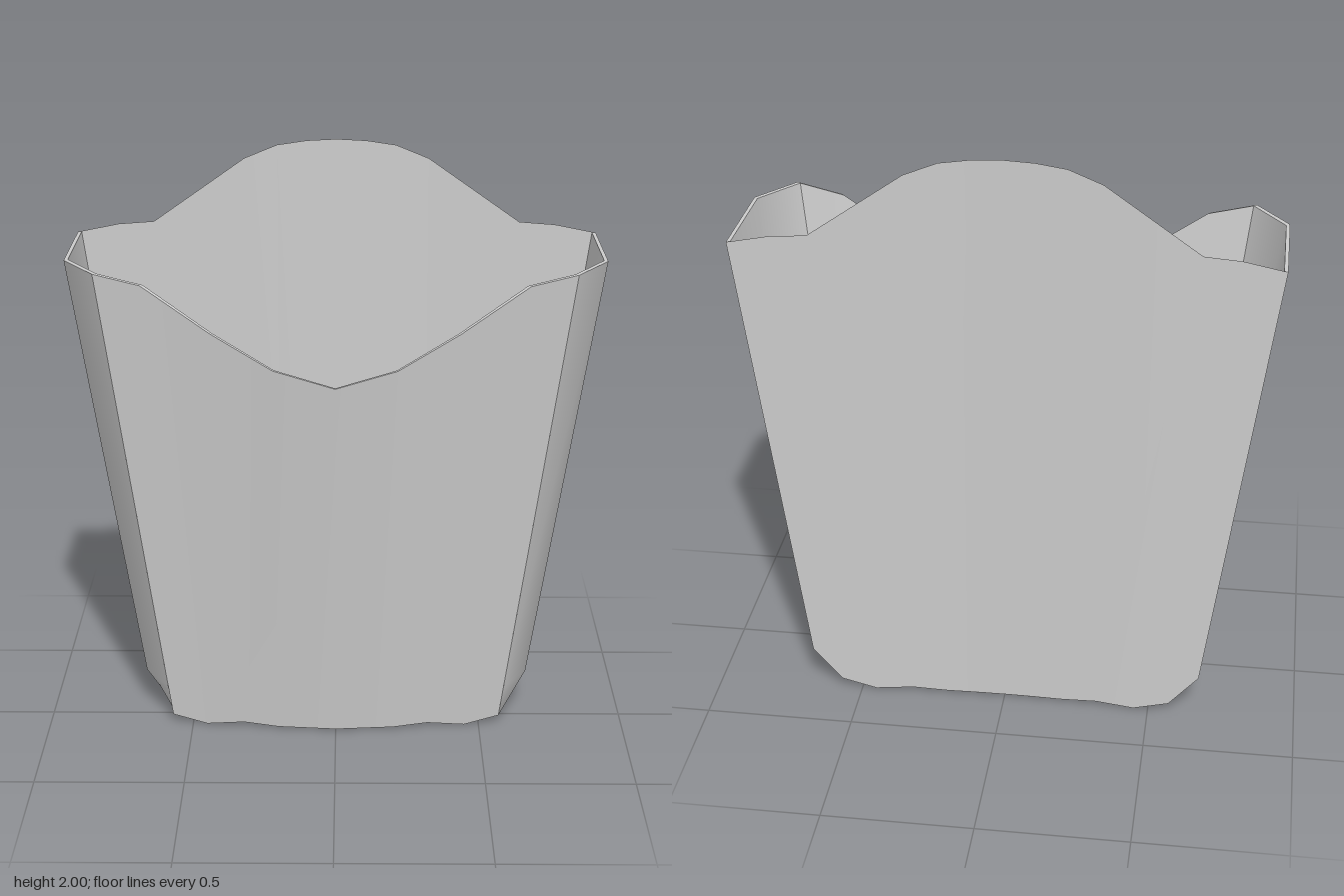
import * as THREE from 'three';
import { mergeGeometries } from 'three/addons/utils/BufferGeometryUtils.js';

const material = new THREE.MeshStandardMaterial({ color: 0xcccccc, side: THREE.DoubleSide });

// Smooth surface through a row of columns of [x, y, z] points
function sheet(columns) {
  const rows = columns[0].length;
  const index = [];
  for (let i = 0; i < columns.length - 1; i++) {
    for (let j = 0; j < rows - 1; j++) {
      const a = i * rows + j, b = a + rows;
      index.push(a, b, b + 1, a, b + 1, a + 1);
    }
  }
  const geometry = new THREE.BufferGeometry();
  geometry.setAttribute('position', new THREE.Float32BufferAttribute(columns.flat(2), 3));
  geometry.setIndex(index);
  geometry.computeVertexNormals();
  return geometry;
}

const mirrorColumn = (column) => column.map(([x, y, z]) => [-x, y, z]);

// Complete a half that starts on the centre line, running from -x to +x
const bothHalves = (half) => [...half.slice(1).reverse().map(mirrorColumn), ...half];

// Inner skin of the card
const inset = ([x, y, z]) => [x * 0.986, y, z > -0.2 ? z - 0.01 : z];

// Card panel with an outer skin, an inner skin and a thin rim along the top
function cardPanel(columns) {
  const inner = columns.map((c) => c.map(inset));
  const last = columns[0].length - 1;
  const rim = columns.map((c, i) => [c[last], inner[i][last]]);
  return mergeGeometries([sheet(columns), sheet([...inner].reverse()), sheet(rim)]);
}

export function createModel() {
  const group = new THREE.Group();
  const add = (name, geometry) => {
    const mesh = new THREE.Mesh(geometry, material);
    mesh.name = name;
    group.add(mesh);
  };

  // Front panel: bowed forward, with a dipped rim; columns run bottom to top
  const frontHalf = [
    [[0, 0.01, 0.13], [0, 1.315, 0.297]],
    [[0.2, 0.01, 0.113], [0.2, 1.37, 0.28]],
    [[0.32, 0.018, 0.095], [0.4, 1.485, 0.253]],
    [[0.45, 0.005, 0.082], [0.62, 1.64, 0.241]],
    [[0.57, 0.035, 0.07], [0.77, 1.677, 0.238]],
  ];
  add('frontPanel', cardPanel(bothHalves(frontHalf)));

  // Back panel: flat, bowed in slightly at the foot, with a raised crest
  const backHalf = [
    [[0, 0.01, -0.28], [0, 2, -0.295]],
    [[0.1, 0.01, -0.281], [0.1, 1.995, -0.295]],
    [[0.2, 0.01, -0.284], [0.2, 1.98, -0.295]],
    [[0.32, 0.018, -0.291], [0.31, 1.935, -0.295]],
    [[0.45, 0.005, -0.295], [0.62, 1.717, -0.295]],
    [[0.57, 0.035, -0.295], [0.74, 1.708, -0.295]],
    [[0.67, 0.15, -0.295], [0.88, 1.68, -0.295]],
  ];
  add('backPanel', sheet(bothHalves(backHalf).reverse()));

  // Side panels: wrap from the front corner to the back, tucked in at the foot
  const side = [
    [[0.57, 0.035, 0.07], [0.584, 0.15, 0.082], [0.77, 1.677, 0.238]],
    [[0.57, 0.035, 0.0], [0.67, 0.15, -0.05], [0.88, 1.68, 0.08]],
    [[0.57, 0.035, -0.295], [0.67, 0.15, -0.295], [0.88, 1.68, -0.295]],
  ];
  add('leftSidePanel', cardPanel(side));
  add('rightSidePanel', cardPanel(side.map(mirrorColumn).reverse()));

  // Floor: joins the wavy lower edges of the front and back
  const backFeet = backHalf.filter((c, i) => i !== 1).map((c) => c[0]);
  add('floor', sheet(bothHalves(frontHalf.map((c, i) => [backFeet[i], c[0]]))));

  return group;
}
